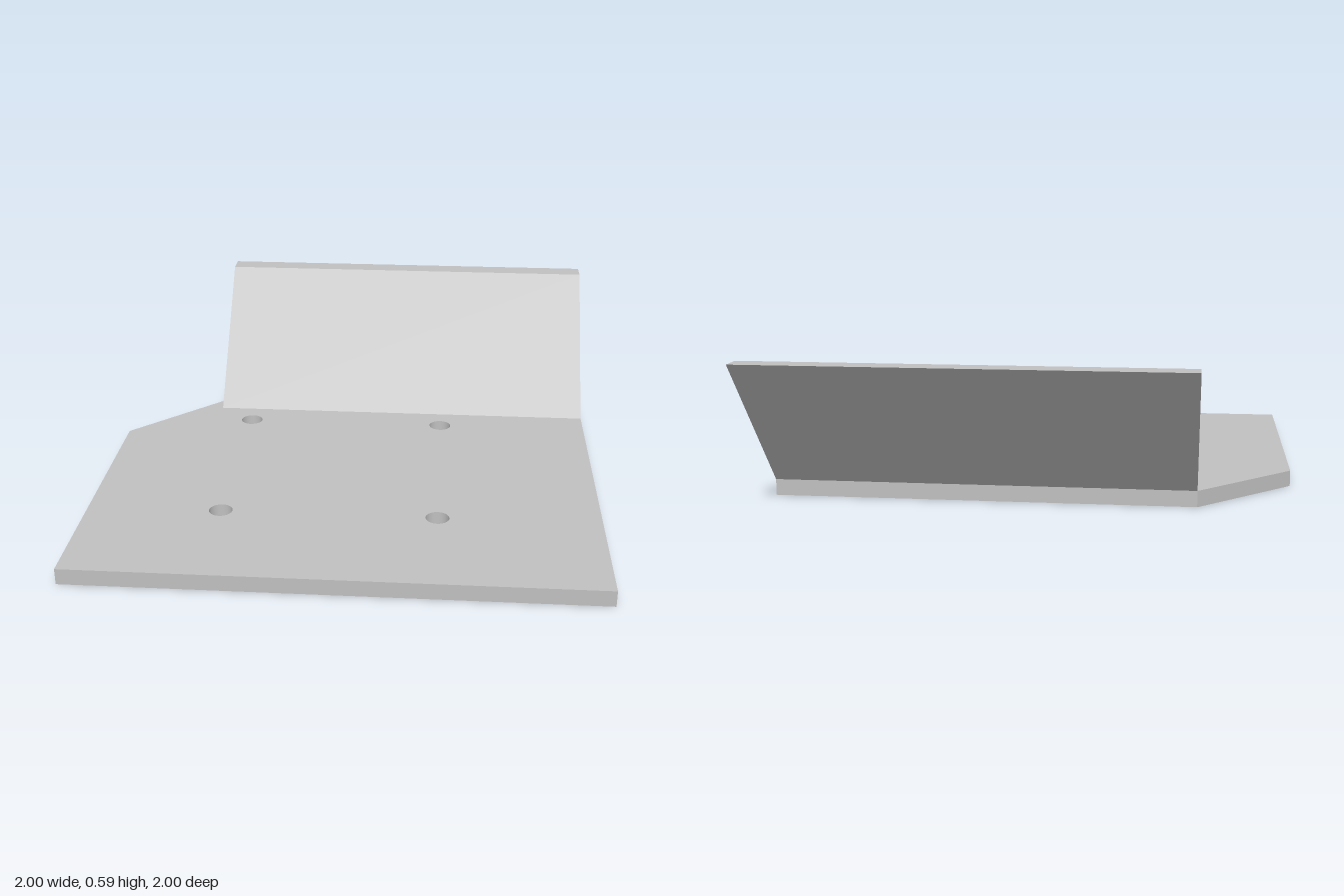
import * as THREE from 'three';

const steel = new THREE.MeshStandardMaterial({ color: 0xc0c0c0 });
steel.name = 'plain steel';

const T = 0.063;        // plate thickness
const NOTCH_X = -0.63;  // right-hand end of the flange
const BACK_Z = -0.525;  // rear edge of the plate

const shapeOf = (points) => new THREE.Shape(points.map(([a, b]) => new THREE.Vector2(a, b)));

// Flat plate with one clipped corner and four bolt holes, drawn as (x, -z)
function makeBasePlate() {
  const outline = shapeOf([[-1, -1], [1, -1], [1, -BACK_Z], [NOTCH_X, -BACK_Z], [-1, 0.16]]);
  for (const x of [-0.477, 0.367]) {
    for (const z of [-0.319, 0.524]) {
      const hole = new THREE.Path();
      hole.absarc(x, -z, 0.046, 0, Math.PI * 2, true);
      outline.holes.push(hole);
    }
  }
  const geometry = new THREE.ExtrudeGeometry(outline, { depth: T, bevelEnabled: false, curveSegments: 32 });
  geometry.rotateX(-Math.PI / 2);
  const mesh = new THREE.Mesh(geometry, steel);
  mesh.name = 'basePlate';
  return mesh;
}

// Flange leaning backwards, its side profile drawn as (-z, y) and swept along x
function makeFlange() {
  const profile = shapeOf([[0.438, T], [-BACK_Z, T], [1, 0.588], [0.912, 0.588]]);
  const geometry = new THREE.ExtrudeGeometry(profile, { depth: 1 - NOTCH_X, bevelEnabled: false });
  geometry.rotateY(Math.PI / 2).translate(NOTCH_X, 0, 0);
  const mesh = new THREE.Mesh(geometry, steel);
  mesh.name = 'slopedFlange';
  return mesh;
}

export function createModel() {
  const group = new THREE.Group();
  group.name = 'bentBracket';
  group.add(makeBasePlate(), makeFlange());
  return group;
}
